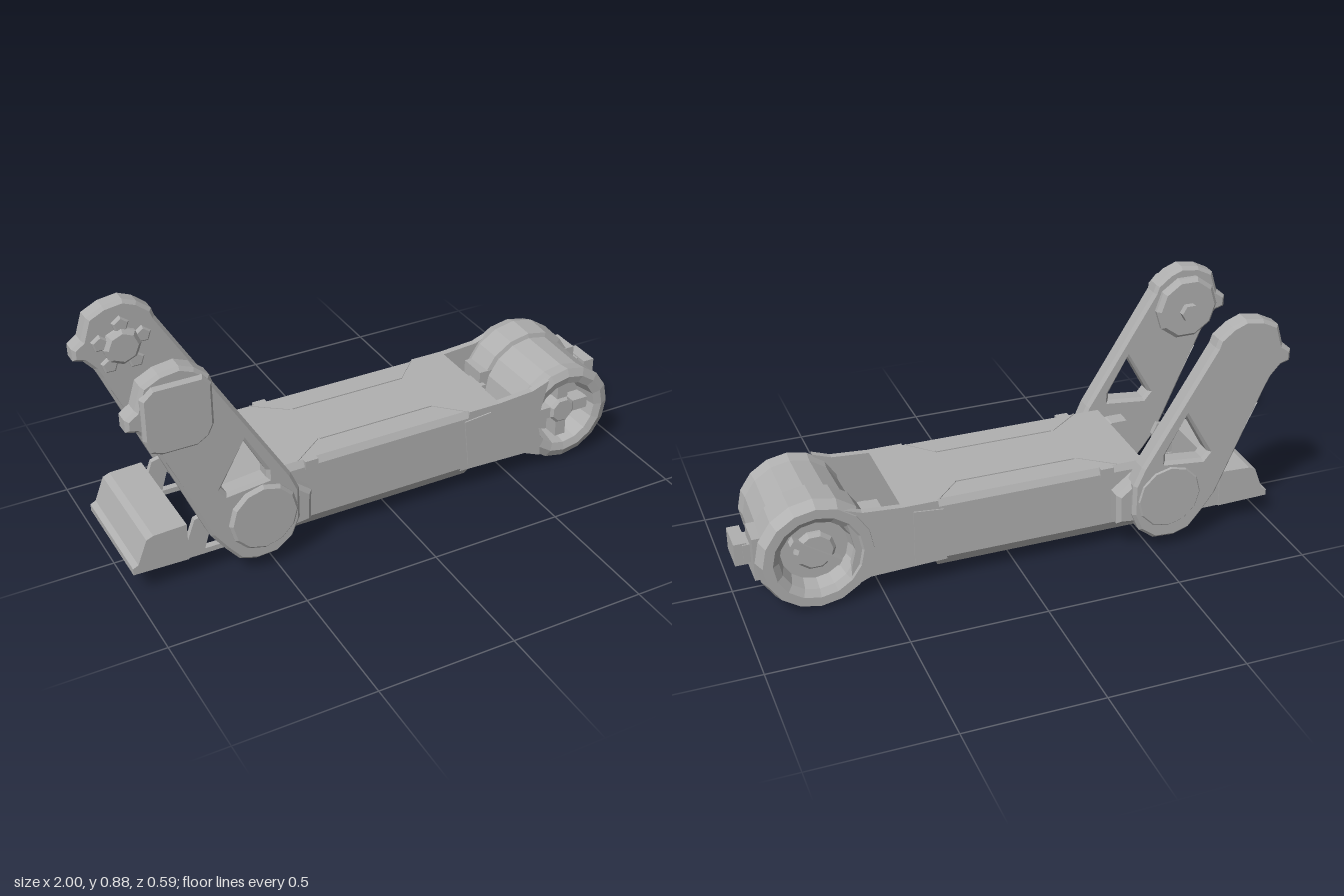
import * as THREE from 'three';

export function createModel() {
  const group = new THREE.Group();
  const grey = new THREE.MeshStandardMaterial({ color: 0xb0b0b0, flatShading: true });
  grey.name = 'plain grey';

  const add = (name, geometry) => {
    const mesh = new THREE.Mesh(geometry, grey);
    mesh.name = name;
    group.add(mesh);
    return mesh;
  };
  const box = (name, x0, x1, y0, y1, z0, z1) => {
    const g = new THREE.BoxGeometry(x1 - x0, y1 - y0, z1 - z0);
    return add(name, g.translate((x0 + x1) / 2, (y0 + y1) / 2, (z0 + z1) / 2));
  };
  const toShape = (pts) => new THREE.Shape(pts.map(([x, y]) => new THREE.Vector2(x, y)));
  // Extrudes an outline in x,y between two z positions, with an optional edge bevel
  const slab = (name, pts, z0, z1, bevel = 0, holes = []) => {
    const shape = toShape(pts);
    shape.holes = holes.map(toShape);
    const g = new THREE.ExtrudeGeometry(shape, {
      depth: z1 - z0 - 2 * bevel, bevelEnabled: bevel > 0, bevelThickness: bevel,
      bevelSize: bevel, bevelOffset: -bevel, bevelSegments: 1,
    });
    return add(name, g.translate(0, 0, z0 + bevel));
  };
  const disc = (x, y, r, n, turn = 0) => Array.from({ length: n }, (_, i) => {
    const a = turn + (i / n) * Math.PI * 2;
    return [x + r * Math.cos(a), y + r * Math.sin(a)];
  });

  // Main body: bevelled section swept along x, ends slanted by moving the lower corners
  const section = toShape([[-0.19, 0.068], [0.19, 0.068], [0.213, 0.11], [0.213, 0.32],
    [0.2, 0.345], [-0.2, 0.345], [-0.213, 0.32], [-0.213, 0.11]]);
  const body = new THREE.ExtrudeGeometry(section, { depth: 1, bevelEnabled: false });
  body.rotateY(Math.PI / 2);
  const p = body.attributes.position;
  for (let i = 0; i < p.count; i++) {
    const drop = (0.345 - p.getY(i)) / 0.277;
    p.setX(i, p.getX(i) < 0.5 ? -0.48 - 0.12 * drop : 0.43 - 0.13 * drop);
  }
  body.computeVertexNormals();
  add('body', body);

  for (const s of [-1, 1]) {
    // Deck seams and flared seam ends
    box('deckSeam', -0.25, 0.2, 0.343, 0.349, s * 0.11 - 0.004, s * 0.11 + 0.004);
    for (const [xa, xb] of [[-0.26, -0.38], [0.2, 0.29]]) {
      const len = Math.hypot(xb - xa, 0.09);
      const seam = add('deckSeamEnd', new THREE.BoxGeometry(len, 0.005, 0.004));
      seam.position.set((xa + xb) / 2, 0.345, s * 0.155);
      seam.rotation.y = -Math.atan2(s * 0.09, xb - xa);
    }
    // Side trim, step plate and fork holding the drum
    const out = (a, b) => (s > 0 ? [a, b] : [-b, -a]);
    box('sideTrim', -0.36, -0.31, 0.31, 0.345, ...out(0.2, 0.219));
    slab('sideStep', [[0.28, 0.31], [0.3, 0.12], [0.39, 0.11], [0.39, 0.32]], ...out(0.2, 0.218));
    slab('drumFork', [[0.27, 0.1], [0.55, 0.09], [0.62, 0.06], [0.615, 0.15], [0.6, 0.21],
      [0.615, 0.28], [0.64, 0.38], [0.57, 0.355], [0.43, 0.345], [0.3, 0.345]], ...out(0.188, 0.213));
    // Tail rails and gussets
    box('tailRail', -0.97, -0.5, 0.085, 0.105, ...out(0.18, 0.205));
    slab('tailGusset', [[-0.82, 0.1], [-0.74, 0.1], [-0.71, 0.2], [-0.73, 0.245], [-0.77, 0.235]],
      ...out(0.185, 0.205));
  }

  // Tail wedge
  slab('tailWedge', [[-1, 0.09], [-0.8, 0.085], [-0.8, 0.23], [-0.92, 0.225], [-0.945, 0.215],
    [-0.98, 0.125], [-1, 0.115]], -0.21, 0.21);

  // Drum: faceted lathe, wider at the back, with a hub recess at both ends
  const profile = [[0, -0.15], [0.12, -0.15], [0.135, -0.2], [0.16, -0.218], [0.195, -0.218],
    [0.212, -0.17], [0.207, -0.065], [0.19, -0.06], [0.184, 0.15], [0.19, 0.2], [0.16, 0.213],
    [0.13, 0.205], [0.115, 0.12], [0, 0.12]].map(([r, y]) => new THREE.Vector2(r, y));
  const drum = new THREE.LatheGeometry(profile, 16).rotateX(Math.PI / 2);
  add('drum', drum).position.set(0.73, 0.21, 0);

  // Hub spokes in the front recess, ribbed disc in the back one
  box('hubSpoke', 0.615, 0.845, 0.19, 0.235, 0.11, 0.18);
  box('hubSpoke', 0.708, 0.752, 0.1, 0.325, 0.11, 0.18);
  slab('hubBoss', disc(0.73, 0.212, 0.055, 8, Math.PI / 8), 0.11, 0.19, 0.01);
  slab('hubDisc', disc(0.73, 0.21, 0.075, 10), -0.175, -0.14, 0.012);
  const rib = box('hubRib', -0.1, 0.1, -0.012, 0.012, -0.185, -0.14);
  rib.position.set(0.73, 0.21, 0);
  rib.rotation.z = 0.6;

  // Lugs on both flanks of the drum
  for (const s of [-1, 1]) {
    const lug = (name, a, b, y0, y1, z0, z1) => box(name,
      Math.min(0.73 + s * a, 0.73 + s * b), Math.max(0.73 + s * a, 0.73 + s * b), y0, y1, z0, z1);
    lug('lugBase', 0.14, 0.215, 0.14, 0.305, -0.17, -0.06);
    lug('lugNeck', 0.2, 0.24, 0.19, 0.26, -0.125, -0.04);
    lug('lug', 0.225, 0.27, 0.18, 0.265, -0.12, 0);
  }

  // Lifting arms with triangular cut-outs
  const armOutline = [[-0.93, 0.64], [-0.91, 0.6], [-0.74, 0.2], [-0.69, 0.13], [-0.64, 0.07],
    [-0.58, 0.05], [-0.5, 0.055], [-0.44, 0.1], [-0.41, 0.17], [-0.41, 0.29], [-0.44, 0.36],
    [-0.7, 0.79], [-0.71, 0.82], [-0.76, 0.86], [-0.81, 0.88], [-0.88, 0.87], [-0.94, 0.84],
    [-0.965, 0.76], [-1, 0.735], [-1, 0.69], [-0.965, 0.68]];
  const armHoles = [
    [[-0.865, 0.54], [-0.71, 0.57], [-0.685, 0.53], [-0.765, 0.385], [-0.795, 0.395]],
    [[-0.605, 0.54], [-0.53, 0.4], [-0.53, 0.37], [-0.675, 0.355], [-0.695, 0.38]],
  ];
  slab('frontArm', armOutline, 0.208, 0.28, 0.012, armHoles);
  slab('backArm', armOutline, -0.29, -0.218, 0.012, armHoles);

  // Arm head caps, inner hubs and pins
  const cap = [[-0.93, 0.6], [-0.89, 0.585], [-0.77, 0.585], [-0.73, 0.61], [-0.71, 0.65],
    [-0.71, 0.8], [-0.74, 0.835], [-0.91, 0.835], [-0.95, 0.8], [-0.95, 0.65]];
  slab('frontHeadCap', cap, 0.265, 0.295, 0.01);
  slab('frontInnerHub', disc(-0.83, 0.72, 0.125, 10), 0.18, 0.225, 0.014);
  slab('frontPin', disc(-0.83, 0.71, 0.035, 6), 0.155, 0.2);
  slab('backInnerHub', disc(-0.83, 0.715, 0.07, 8), -0.235, -0.19, 0.015);
  for (let i = 0; i < 5; i++) {
    const a = 0.3 + i * Math.PI * 0.4;
    slab('hubTooth', disc(-0.83 + 0.08 * Math.cos(a), 0.715 + 0.08 * Math.sin(a), 0.032, 5, a),
      -0.23, -0.203, 0.006);
  }

  // Pivot covers and their side brackets
  const bracket = [[-0.45, 0.12], [-0.36, 0.13], [-0.355, 0.25], [-0.43, 0.31], [-0.5, 0.3]];
  for (const s of [-1, 1]) {
    slab('pivotCover', disc(-0.55, 0.225, 0.128, 12), ...(s > 0 ? [0.26, 0.295] : [-0.295, -0.26]), 0.01);
    slab('pivotBoss', disc(-0.55, 0.21, 0.1, 10), ...(s > 0 ? [0.15, 0.22] : [-0.23, -0.15]));
    slab('pivotBracket', bracket, ...(s > 0 ? [0.19, 0.265] : [-0.27, -0.19]), 0.015);
  }

  return group;
}
